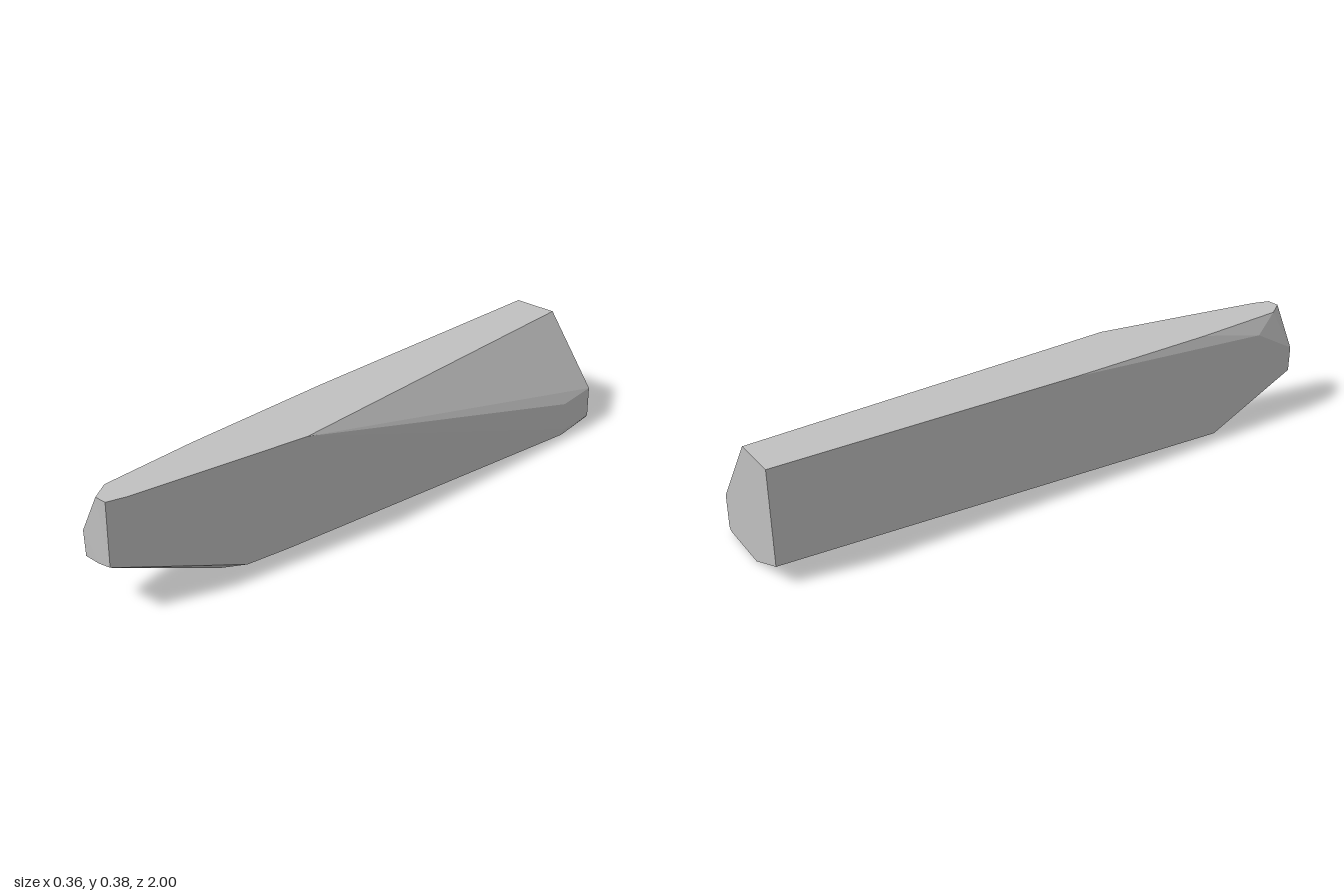
import * as THREE from 'three';
import { ConvexGeometry } from 'three/addons/geometries/ConvexGeometry.js';

export function createModel() {
  const group = new THREE.Group();
  group.name = 'wedgeBlock';
  const grey = new THREE.MeshStandardMaterial({ color: 0xc0c0c0 });
  grey.name = 'light grey';

  // corner points of the faceted block, listed by region
  const corners = [
    // flat back end
    [-0.182, 0.065, -1], [-0.182, 0.384, -1], [-0.02, 0.384, -1],
    [0.17, 0.13, -1], [0.172, 0.018, -1], [0.163, 0.005, -1], [-0.03, 0, -1],
    // widest part, just ahead of the back end
    [0.181, 0.02, -0.84], [0.178, 0.122, -0.84], [0.179, 0, -0.83],
    // flat top
    [-0.182, 0.384, 0.05], [-0.168, 0.384, 0.6], [-0.147, 0.384, 0.935],
    [-0.105, 0.384, 0.995], [-0.062, 0.384, 0.993], [-0.044, 0.384, 0.935],
    [0.002, 0.384, 0.66], [0.055, 0.384, 0.33],
    // blunt nose
    [-0.182, 0.157, 1], [-0.12, 0.159, 1], [-0.066, 0.168, 0.998],
    [-0.182, 0.245, 1], [-0.182, 0.332, 0.84],
    // front end of the underside
    [-0.182, 0, 0.66], [-0.04, 0, 0.62], [0.004, 0, 0.55], [0.028, 0, 0.4],
  ];
  const geometry = new ConvexGeometry(corners.map((p) => new THREE.Vector3(...p)));
  const body = new THREE.Mesh(geometry, grey);
  body.name = 'body';
  group.add(body);
  return group;
}
